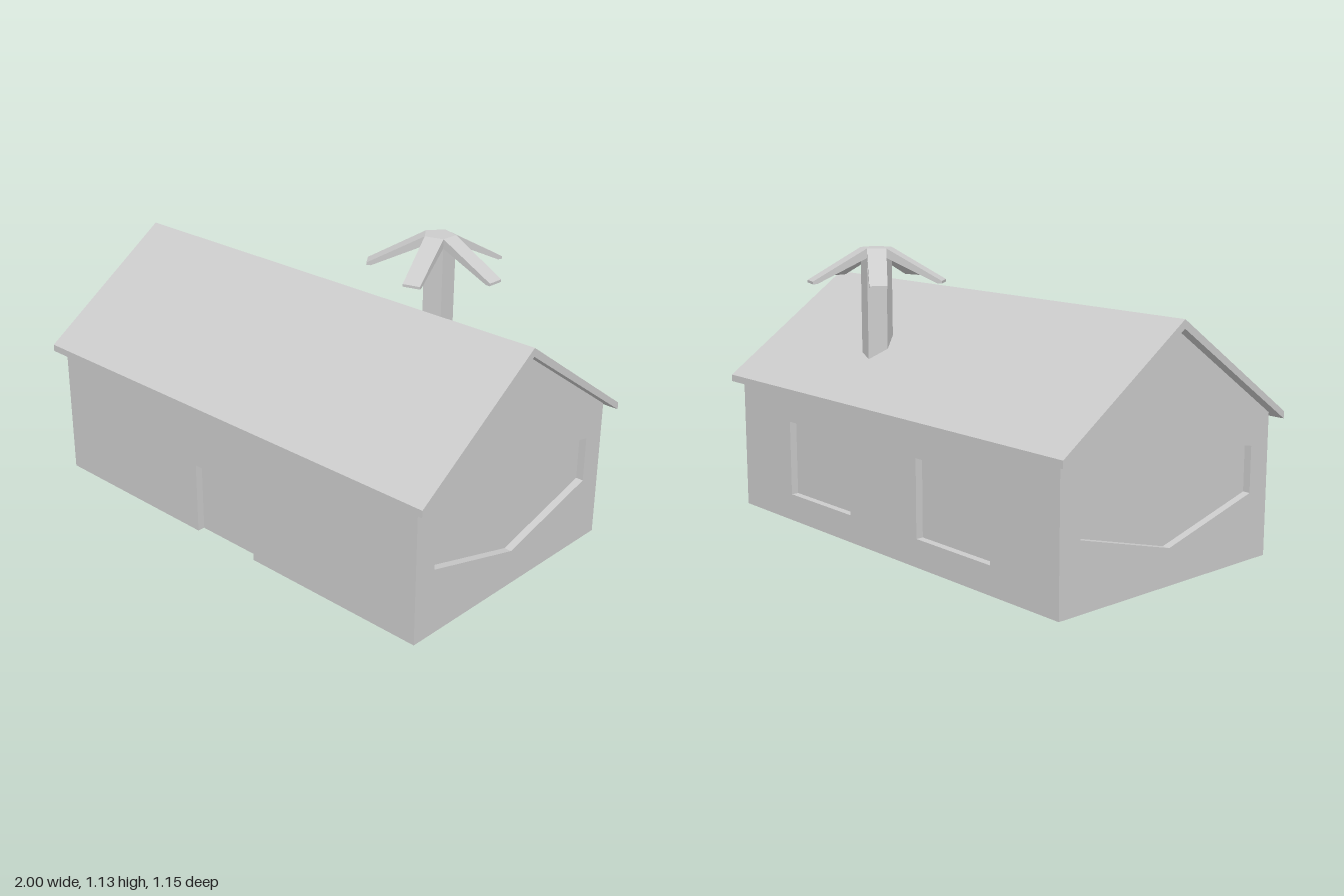
import * as THREE from 'three';

const material = new THREE.MeshStandardMaterial({ color: 0xcccccc, flatShading: true });
const HX = 0.955, HZ = 0.54; // half length and half depth of the house
const EAVE = 0.553, PEAK = 0.925; // wall heights
const RECESS = 0.03; // depth of door and window recesses

const points = (list) => list.map(([x, y]) => new THREE.Vector2(x, y));
const rect = (x0, x1, y0, y1) => [[x0, y0], [x1, y0], [x1, y1], [x0, y1]];
const gable = (h) => [[-h, 0], [h, 0], [h, EAVE], [0, PEAK], [-h, EAVE]];

// Extrudes an outline, with optional holes, from z = 0 to z = depth
function slab(outline, depth, holes = []) {
  const shape = new THREE.Shape(points(outline));
  for (const hole of holes) shape.holes.push(new THREE.Path(points(hole)));
  return new THREE.ExtrudeGeometry(shape, { depth, bevelEnabled: false });
}

function add(parent, name, geometry) {
  const mesh = new THREE.Mesh(geometry, material);
  mesh.name = name;
  parent.add(mesh);
  return mesh;
}

function createHouse() {
  const house = new THREE.Group();
  house.name = 'house';
  const inner = HX - RECESS;

  // Solid core, whose faces form the backs of the recesses
  add(house, 'core', slab(gable(HZ - RECESS), 2 * inner).translate(0, 0, -inner).rotateY(Math.PI / 2));

  // Gable walls with six-sided windows
  const hexWindow = [[-0.443, 0.26], [0, 0.14], [0.443, 0.26], [0.443, 0.44], [0, 0.533], [-0.443, 0.44]];
  for (const side of [1, -1]) {
    const wall = slab(gable(HZ), RECESS, [hexWindow]).translate(0, 0, inner);
    add(house, side > 0 ? 'leftGableWall' : 'rightGableWall', wall.rotateY(side * Math.PI / 2));
  }

  // Front wall with the door opening cut into its lower edge
  const front = [
    [-inner, 0], [-0.16, 0], [-0.16, 0.29], [0.155, 0.29], [0.155, 0],
    [inner, 0], [inner, EAVE], [-inner, EAVE],
  ];
  add(house, 'frontWall', slab(front, RECESS).translate(0, 0, HZ - RECESS));

  // Back wall with two windows
  const windows = [rect(-0.614, -0.206, 0.11, 0.415), rect(0.206, 0.614, 0.11, 0.415)];
  const back = slab(rect(-inner, inner, 0, EAVE), RECESS, windows);
  add(house, 'backWall', back.translate(0, 0, HZ - RECESS).rotateY(Math.PI));

  // Overhanging roof
  const roof = [[-0.572, 0.532], [0, PEAK], [0.572, 0.532], [0.572, 0.56], [0, 0.958], [-0.572, 0.56]];
  add(house, 'roof', slab(roof, 2).translate(0, 0, -1).rotateY(Math.PI / 2));
  return house;
}

function createChimney() {
  const chimney = new THREE.Group();
  chimney.name = 'chimney';
  const sides = 5, radius = 0.066, top = 1.13, bottom = 0.66;
  const apothem = radius * Math.cos(Math.PI / sides);

  // Five-sided shaft with a flat face towards +x
  const shaft = new THREE.CylinderGeometry(radius, radius, top - bottom, sides, 1, false, -Math.PI / 2);
  add(chimney, 'shaft', shaft.translate(0, (top + bottom) / 2, 0));

  // Sloping arms, one from each face, tapering slightly outwards
  const reach = 0.28;
  const profile = [[apothem, 1.093], [reach - 0.018, 1.0], [reach, 1.0], [reach, 1.01], [apothem, top]];
  for (let i = 0; i < sides; i++) {
    const arm = slab(profile, 1).translate(0, 0, -0.5);
    const pos = arm.attributes.position;
    for (let v = 0; v < pos.count; v++) {
      const t = (pos.getX(v) - apothem) / (reach - apothem);
      pos.setZ(v, pos.getZ(v) * THREE.MathUtils.lerp(0.0776, 0.07, t));
    }
    arm.computeVertexNormals();
    add(chimney, 'arm', arm.rotateY((i * 2 * Math.PI) / sides));
  }
  chimney.scale.z = 0.95;
  chimney.position.set(0.31, 0, -0.317);
  chimney.rotation.y = -0.015;
  return chimney;
}

export function createModel() {
  const model = new THREE.Group();
  model.name = 'cottage';
  model.add(createHouse(), createChimney());
  return model;
}
